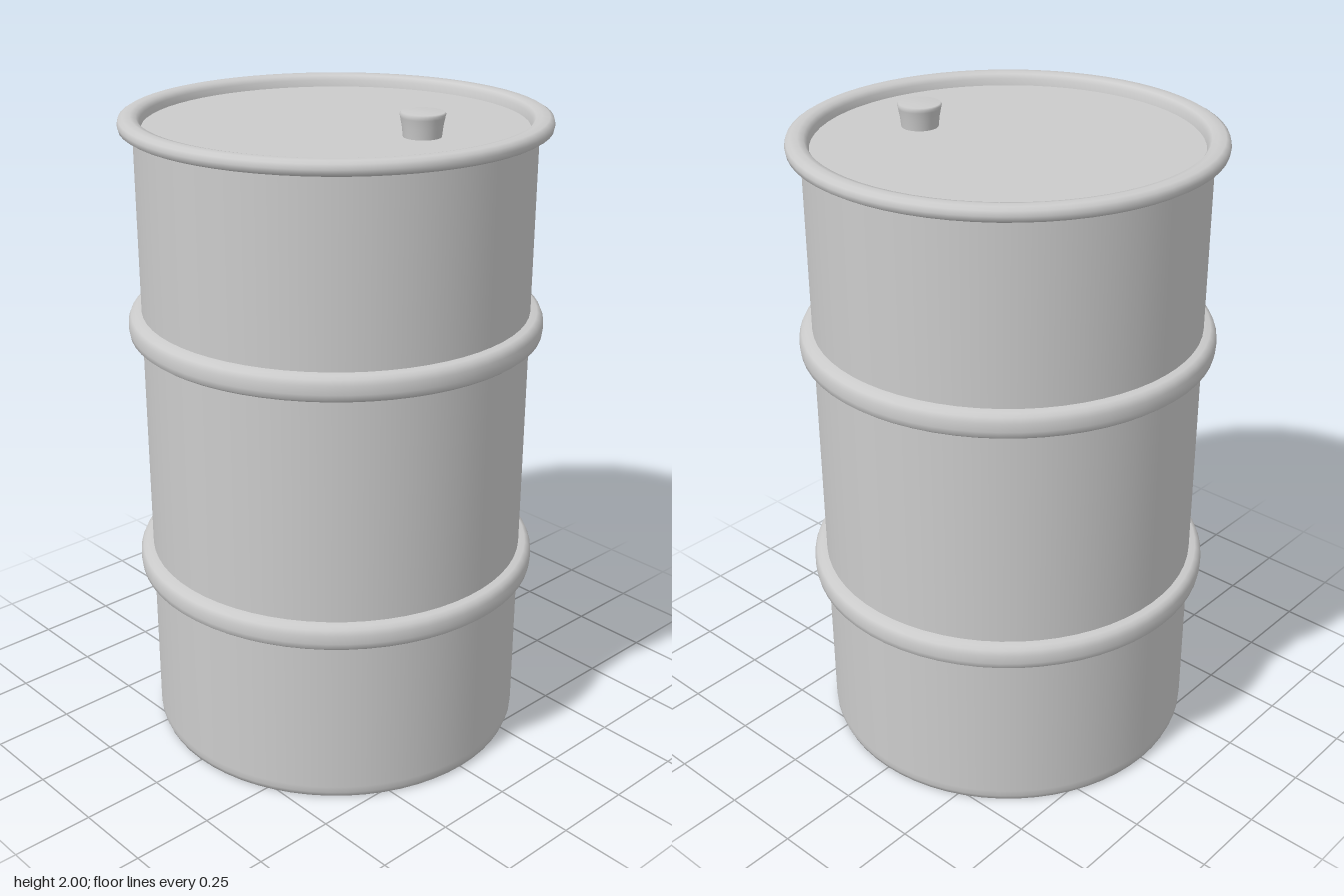
import * as THREE from 'three';

const material = new THREE.MeshStandardMaterial({ color: 0xcccccc });

// Smooth turned part from [radius, height] points, listed bottom to top
function turned(name, profile, segments) {
  const points = profile.map(([r, y]) => new THREE.Vector2(r, y));
  const mesh = new THREE.Mesh(new THREE.LatheGeometry(points, segments), material);
  mesh.name = name;
  return mesh;
}

export function createModel() {
  const group = new THREE.Group();
  group.name = 'drum';

  // Closed bottom and straight wall
  group.add(turned('body', [
    [0, 0], [0.565, 0], [0.578, 0.004], [0.584, 0.02], [0.585, 0.04],
    [0.585, 1.0], [0.585, 1.94],
  ], 64));

  // Two rolling hoops around the wall
  for (const [name, y] of [['lowerHoop', 0.54], ['upperHoop', 1.31]]) {
    group.add(turned(name, [
      [0.58, y - 0.003], [0.612, y], [0.622, y + 0.008], [0.625, y + 0.025],
      [0.624, y + 0.05], [0.617, y + 0.066], [0.605, y + 0.073], [0.58, y + 0.076],
    ], 64));
  }

  // Rolled top rim, dropping inward to the recessed lid
  group.add(turned('rim', [
    [0.58, 1.923], [0.615, 1.925], [0.625, 1.931], [0.628, 1.945],
    [0.624, 1.959], [0.612, 1.966], [0.59, 1.967], [0.573, 1.963],
    [0.564, 1.95], [0.56, 1.928],
  ], 64));

  const lid = new THREE.Mesh(new THREE.CircleGeometry(0.565, 64), material);
  lid.name = 'lid';
  lid.rotation.x = -Math.PI / 2;
  lid.position.y = 1.93;
  group.add(lid);

  // Tapered filler cap standing on the lid
  const cap = turned('fillerCap', [
    [0.054, 1.925], [0.058, 1.96], [0.063, 1.985], [0.065, 1.994], [0.061, 1.999], [0, 2],
  ], 32);
  cap.position.set(0.29, 0, -0.06);
  group.add(cap);

  return group;
}
